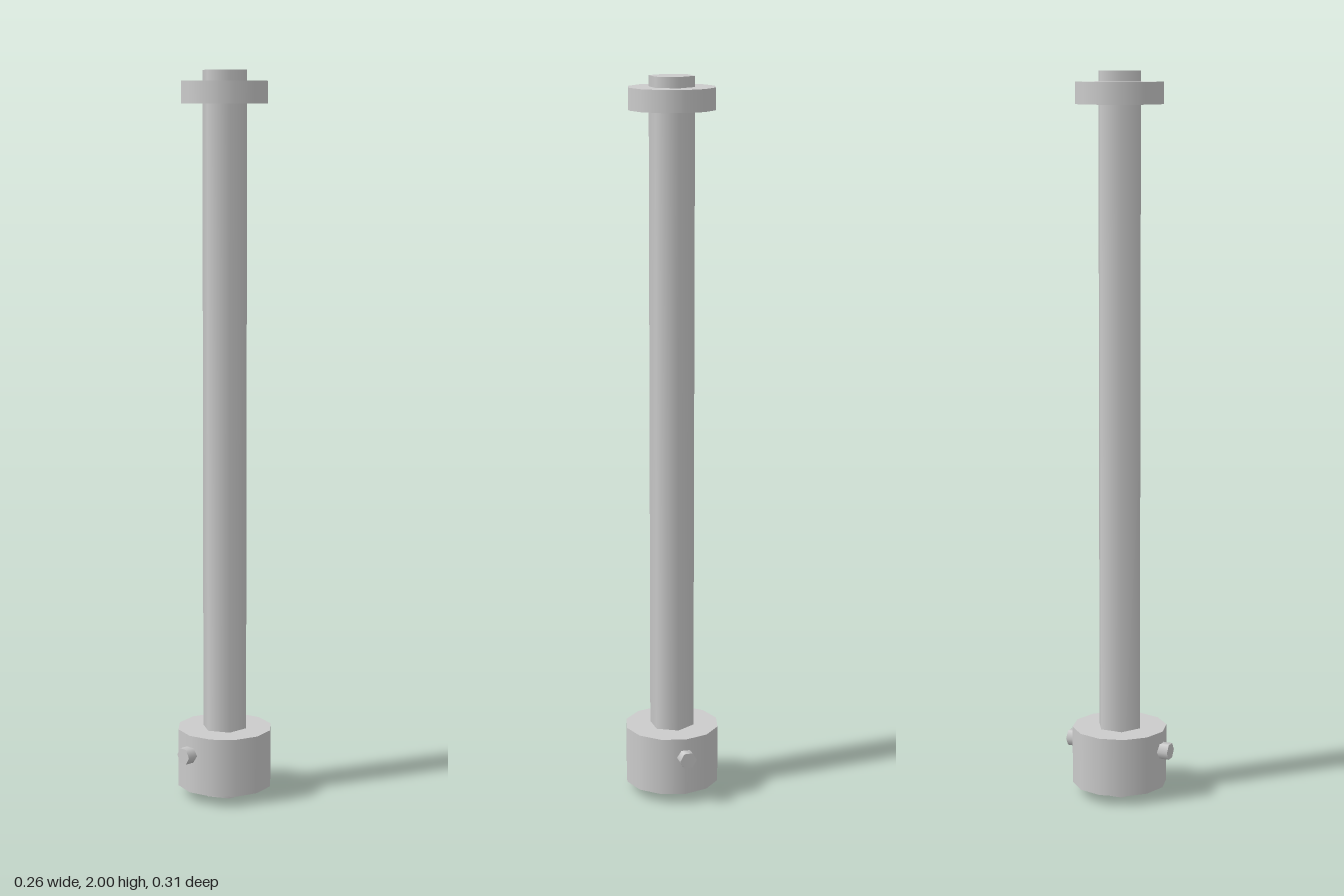
import * as THREE from 'three';

export function createModel() {
  const group = new THREE.Group();
  const material = new THREE.MeshStandardMaterial({ color: 0xcccccc });

  // Upright smooth-shaded prism between two heights
  function addPrism(name, radius, y0, y1, sides) {
    const geometry = new THREE.CylinderGeometry(radius, radius, y1 - y0, sides);
    const mesh = new THREE.Mesh(geometry, material);
    mesh.name = name;
    mesh.position.y = (y0 + y1) / 2;
    group.add(mesh);
  }

  addPrism('shaft', 0.0625, 0, 2, 6);
  addPrism('topCollar', 0.119, 1.912, 1.971, 12);
  addPrism('bottomCollar', 0.132, 0.028, 0.19, 12);

  // Cross pin through the bottom collar, front to back, with corners at its sides
  const pinGeometry = new THREE.CylinderGeometry(0.024, 0.024, 0.312, 6, 1, false, Math.PI / 2);
  pinGeometry.rotateX(Math.PI / 2);
  const pin = new THREE.Mesh(pinGeometry, material);
  pin.name = 'crossPin';
  pin.position.y = 0.136;
  group.add(pin);

  return group;
}
